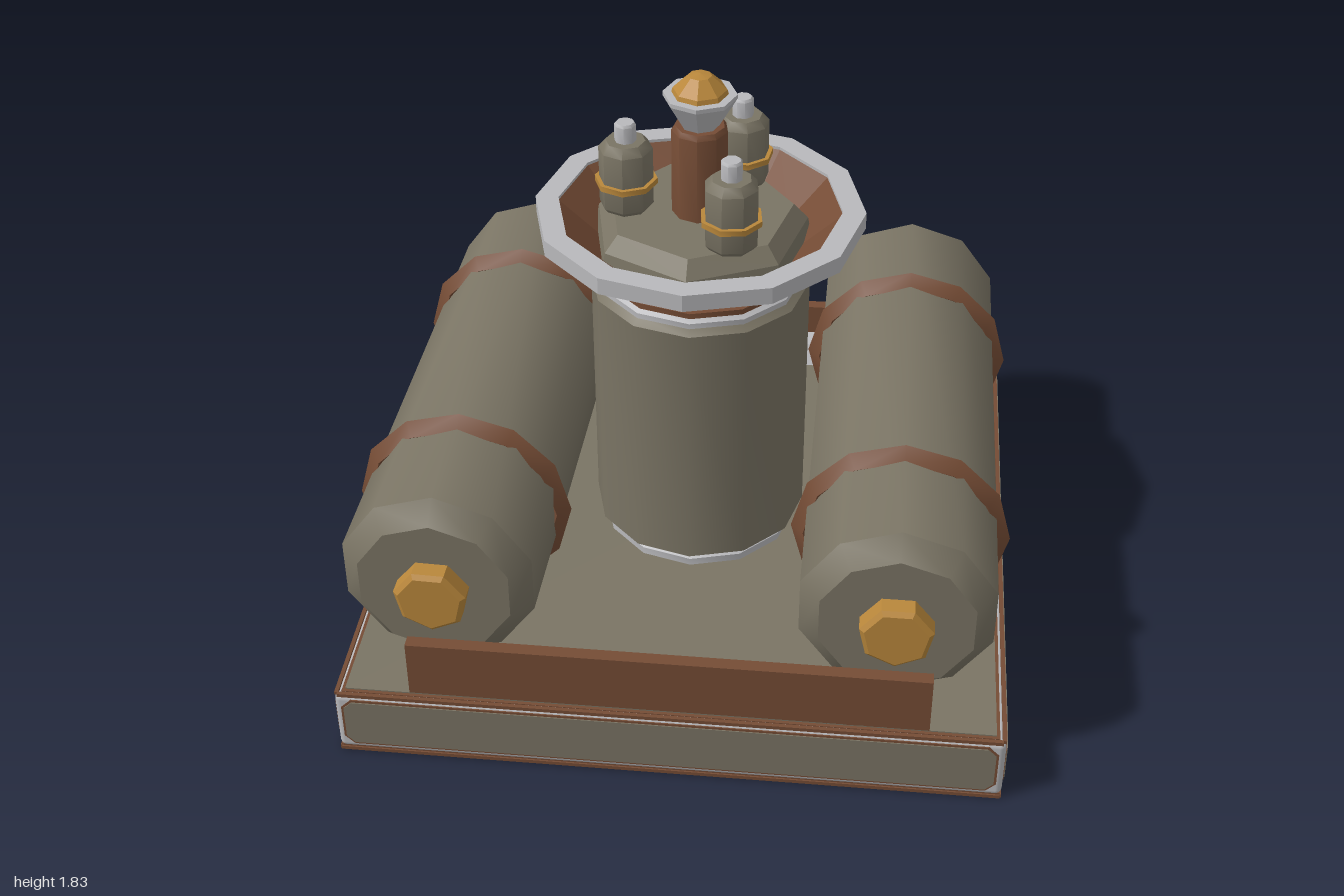
import * as THREE from 'three';
import { toCreasedNormals } from 'three/addons/utils/BufferGeometryUtils.js';
import { RoundedBoxGeometry } from 'three/addons/geometries/RoundedBoxGeometry.js';

const mat = (name, color) => {
  const m = new THREE.MeshStandardMaterial({ color });
  m.name = name;
  return m;
};

export function createModel() {
  const olive = mat('olive grey paint', 0x7a7464);
  const brown = mat('rust brown', 0x754c35);
  const gold = mat('brass', 0xb9873b);
  const light = mat('light steel', 0xb9b9bc);
  const root = new THREE.Group();
  root.name = 'reactor';

  const add = (parent, name, geo, material, x = 0, y = 0, z = 0) => {
    const mesh = new THREE.Mesh(geo, material);
    mesh.name = name;
    mesh.position.set(x, y, z);
    parent.add(mesh);
    return mesh;
  };
  const group = (name, x = 0, y = 0, z = 0) => {
    const g = new THREE.Group();
    g.name = name;
    g.position.set(x, y, z);
    root.add(g);
    return g;
  };
  const box = (w, h, d) => new THREE.BoxGeometry(w, h, d);
  // Turned shape: profile of [radius, height] from bottom to top
  const turned = (profile, sides, crease = 0.7) => toCreasedNormals(
    new THREE.LatheGeometry(profile.map(([r, y]) => new THREE.Vector2(r, y)), sides), crease);

  // Base slab with steel edges
  const base = group('base');
  add(base, 'baseUnderside', box(1.98, 0.02, 1.98), brown, 0, 0.01, 0);
  add(base, 'baseEdges', new RoundedBoxGeometry(1.99, 0.212, 1.99, 2, 0.02), light, 0, 0.118, 0);
  add(base, 'baseTopTrim', box(1.95, 0.02, 1.95), brown, 0, 0.217, 0);
  add(base, 'baseDeck', box(1.93, 0.02, 1.93), olive, 0, 0.221, 0);

  // Chamfered side panels, each with a thin dark outline
  const panel = (w, h, c, t) => {
    const s = new THREE.Shape();
    const x = w / 2, y = h / 2;
    [[-x + c, -y], [x - c, -y], [x, -y + c], [x, y - c], [x - c, y], [-x + c, y], [-x, y - c], [-x, -y + c]]
      .forEach(([px, py], i) => (i ? s.lineTo(px, py) : s.moveTo(px, py)));
    return new THREE.ExtrudeGeometry(s, { depth: t, bevelEnabled: false });
  };
  ['front', 'left', 'back', 'right'].forEach((side, i) => {
    const g = new THREE.Group();
    g.name = side + 'BasePanel';
    g.rotation.y = i * Math.PI / 2;
    base.add(g);
    add(g, 'panelOutline', panel(1.95, 0.178, 0.03, 0.004), brown, 0, 0.122, 0.993);
    add(g, 'panelFace', panel(1.935, 0.163, 0.025, 0.007), i < 2 ? olive : light, 0, 0.122, 0.993);
    add(g, 'topLip', box(1.97, 0.012, 0.012), brown, 0, 0.225, 0.988);
    add(g, 'bottomLip', box(1.98, 0.012, 0.009), brown, 0, 0.008, 0.99);
  });

  // Front and back rails with a foot
  for (const s of [1, -1]) {
    const side = s > 0 ? 'front' : 'back';
    add(root, side + 'Rail', box(1.54, 0.19, 0.04), brown, 0, 0.325, s * 0.945);
    if (s > 0) add(root, 'frontRailFoot', box(1.54, 0.09, 0.11), brown, 0, 0.27, 0.885);
    else for (const x of [-0.73, 0.73]) add(root, 'backRailFoot', box(0.08, 0.09, 0.11), brown, x, 0.27, -0.885);
  }
  // Sloped steel ramp behind the column
  const wedge = new THREE.Shape();
  wedge.moveTo(0.925, 0.22);
  wedge.lineTo(0.925, 0.31);
  wedge.lineTo(0.87, 0.295);
  wedge.lineTo(0.82, 0.22);
  const ramp = add(root, 'backRamp',
    new THREE.ExtrudeGeometry(wedge, { depth: 1.39, bevelEnabled: false }), light, -0.695, 0, 0);
  ramp.rotation.y = Math.PI / 2;

  // Two lying tanks
  const tankGeo = turned([[0, -0.885], [0.235, -0.885], [0.297, -0.825], [0.297, 0.825], [0.235, 0.885], [0, 0.885]], 10);
  const plugGeo = turned([[0, 0], [0.11, 0], [0.11, 0.05], [0.095, 0.062], [0, 0.062]], 7, 0.3);
  const bandGeo = toCreasedNormals(new THREE.TorusGeometry(0.292, 0.038, 4, 12), 0.6);
  for (const [name, x, z, turn] of [['rightTank', -0.663, -0.012, -0.032], ['leftTank', 0.655, 0.004, 0]]) {
    const tank = group(name, x, 0.562, z);
    tank.rotation.y = turn;
    add(tank, 'tankBody', tankGeo, olive).rotation.x = Math.PI / 2;
    add(tank, 'tankPlug', plugGeo, gold, 0, 0, 0.885).rotation.x = Math.PI / 2;
    for (const bz of [-0.462, 0.468]) add(tank, 'tankBand', bandGeo, brown, 0, 0, bz);
  }

  // Central column and collars
  add(root, 'columnFoot', turned([[0.31, 0.23], [0.31, 0.255], [0.28, 0.275], [0, 0.275]], 12, 0.55), light);
  add(root, 'column', turned([[0, 0.265], [0.3, 0.265], [0.338, 0.29], [0.338, 1.135], [0.315, 1.155], [0, 1.155]], 12, 0.55), olive);
  add(root, 'columnCollar', turned([[0.318, 1.15], [0.318, 1.17], [0.3, 1.183], [0, 1.183]], 12, 0.55), light);
  add(root, 'columnSeal', turned([[0.305, 1.175], [0.305, 1.197], [0, 1.197]], 12, 0.55), brown);

  // Dish: outer cone, rim, inner cone
  const dish = group('dish');
  add(dish, 'dishOutside', turned([[0, 1.195], [0.285, 1.195], [0.5, 1.338]], 12, 0.3), olive);
  add(dish, 'dishRim', turned([[0.49, 1.336], [0.5, 1.336], [0.5, 1.39], [0.43, 1.39], [0.43, 1.375]], 12, 0.3), light);
  add(dish, 'dishInside', turned([[0.432, 1.382], [0.3, 1.26], [0, 1.26]], 12, 0.3), brown);
  add(dish, 'dishPlate', turned([[0.34, 1.27], [0.33, 1.325], [0.285, 1.375], [0, 1.375]], 7, 0.3), olive)
    .rotation.y = -Math.PI / 14 + 0.2;

  // Centre post with funnel and dome
  add(root, 'post', turned([[0.085, 1.37], [0.085, 1.65], [0.075, 1.665], [0, 1.665]], 9), brown);
  add(root, 'postFunnel', turned([[0, 1.66], [0.055, 1.66], [0.11, 1.755], [0.11, 1.768], [0, 1.768]], 8, 0.3), light);
  add(root, 'postDome', turned([[0.085, 1.765], [0.08, 1.782], [0.035, 1.825], [0, 1.832]], 8, 0.3), gold);

  // Three small bottles around the post
  const bottleGeo = turned([[0, 0], [0.07, 0], [0.082, 0.015], [0.082, 0.2], [0.06, 0.225], [0, 0.225]], 8, 0.8);
  const hoopGeo = turned([[0.08, 0.082], [0.095, 0.082], [0.095, 0.1], [0.08, 0.1]], 8, 0.8);
  const capGeo = turned([[0.033, 0.22], [0.033, 0.277], [0.027, 0.285], [0, 0.285]], 8, 0.8);
  for (let i = 0; i < 3; i++) {
    const a = Math.PI + i * Math.PI * 2 / 3;
    const bottle = group('bottle' + (i + 1), Math.cos(a) * 0.222, 1.375, Math.sin(a) * 0.222);
    bottle.rotation.y = -a;
    add(bottle, 'bottleBody', bottleGeo, olive);
    add(bottle, 'bottleHoop', hoopGeo, gold);
    add(bottle, 'bottleCap', capGeo, light);
  }
  return root;
}
